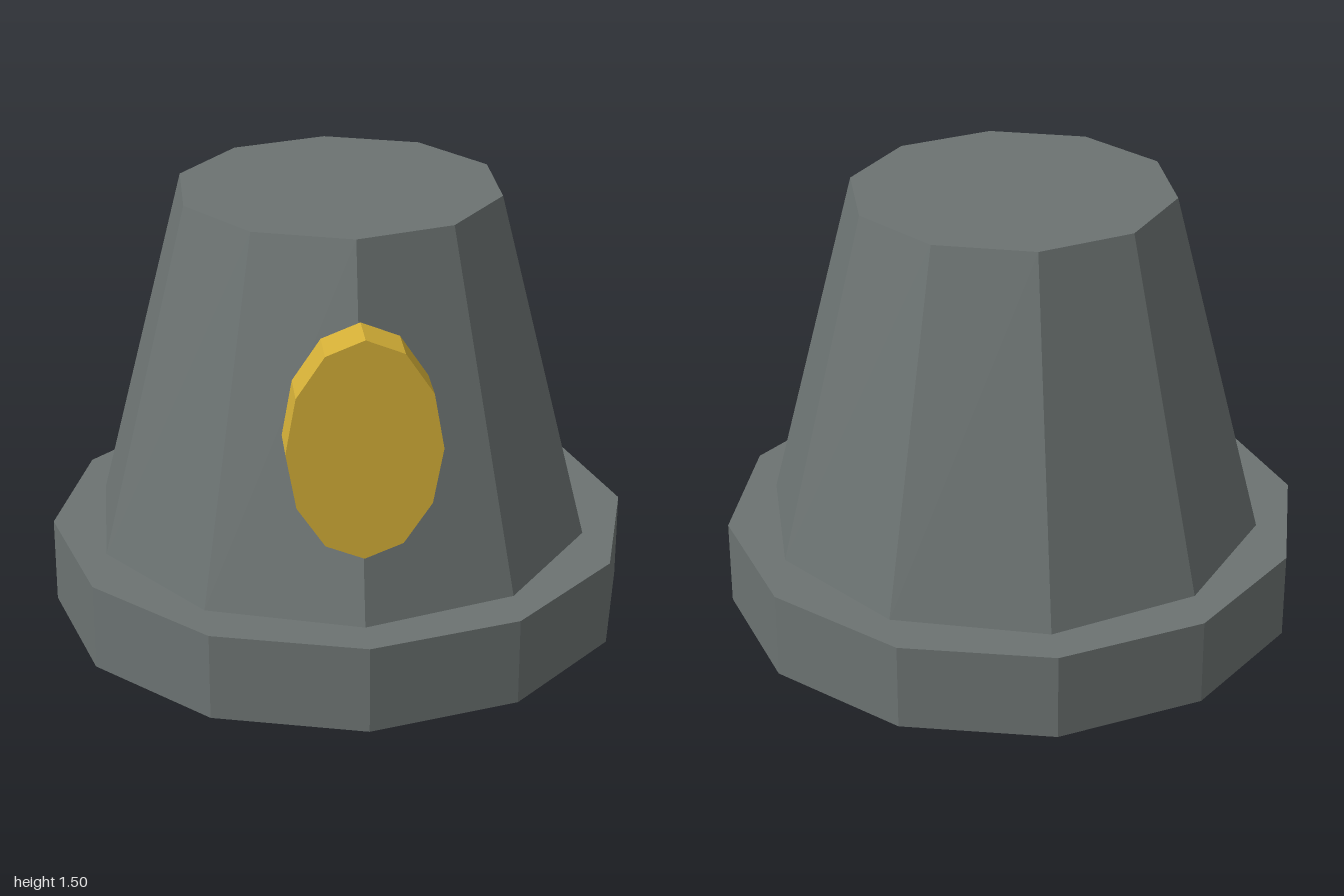
import * as THREE from 'three';

export function createModel() {
  const group = new THREE.Group();
  const stone = new THREE.MeshStandardMaterial({ color: 0x6c7372, flatShading: true });
  stone.name = 'grey stone';
  const gold = new THREE.MeshStandardMaterial({ color: 0xd4af37, flatShading: true });
  gold.name = 'gold';

  const add = (name, geometry, material, y, z = 0) => {
    const mesh = new THREE.Mesh(geometry, material);
    mesh.name = name;
    mesh.position.set(0, y, z);
    group.add(mesh);
  };

  // Twelve-sided plinth
  add('base', new THREE.CylinderGeometry(1, 1, 0.3, 12), stone, 0.15);

  // Ten-sided tapering body
  add('body', new THREE.CylinderGeometry(0.55, 0.86, 1.2, 10), stone, 0.9);

  // Oval medallion set into the front of the body
  const oval = new THREE.CylinderGeometry(1, 1, 0.15, 12);
  oval.rotateX(Math.PI / 2);
  oval.scale(0.248, 0.372, 1);
  add('medallion', oval, gold, 0.902, 0.753);

  return group;
}
